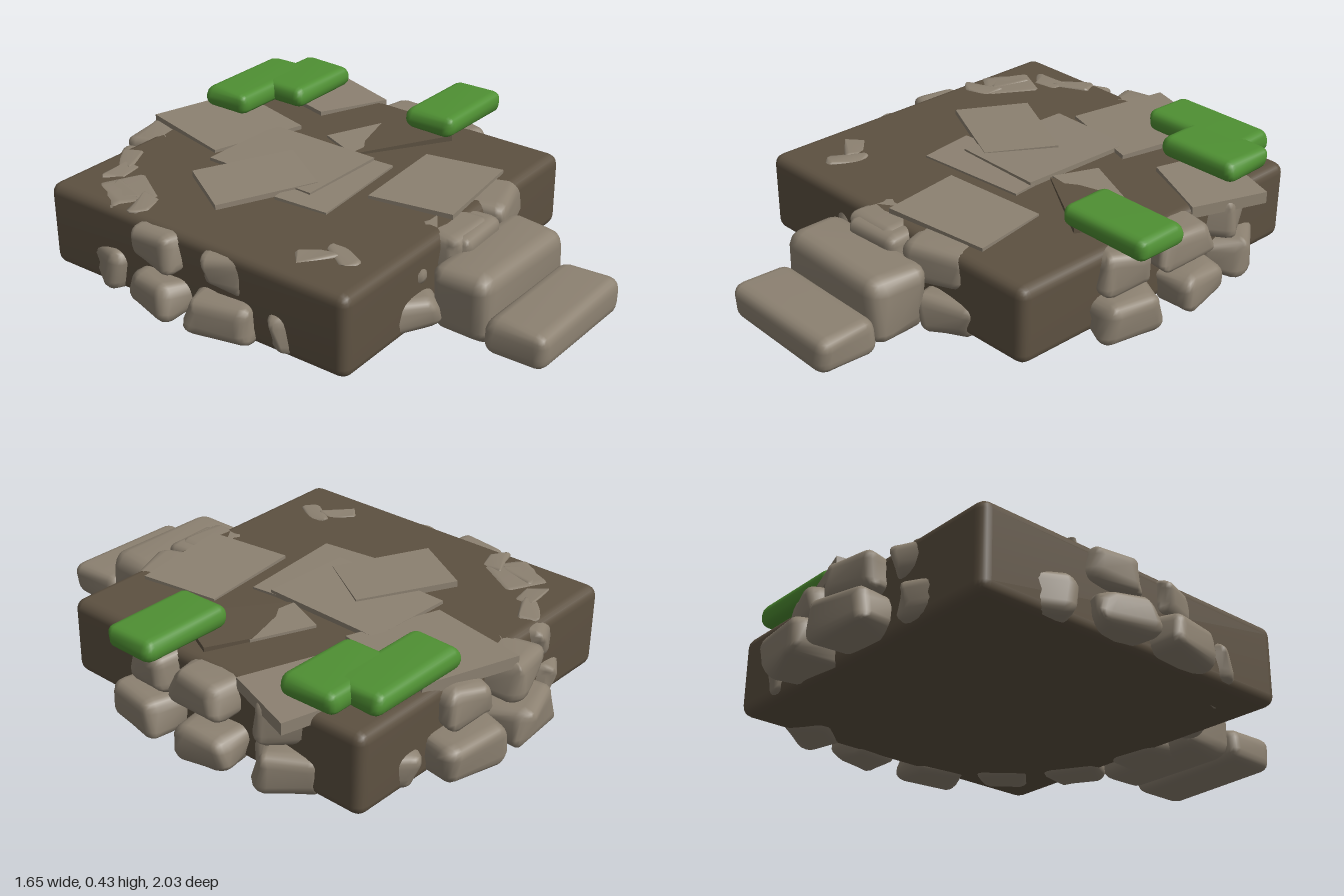
import * as THREE from 'three';
import { mergeVertices } from 'three/addons/utils/BufferGeometryUtils.js';
import { RoundedBoxGeometry } from 'three/addons/geometries/RoundedBoxGeometry.js';

const mat = (name, color) => {
  const m = new THREE.MeshStandardMaterial({ color });
  m.name = name;
  return m;
};

// Rounded block, made uneven by a smooth position rule so that it stays closed
function block(w, h, d, radius, rough, seed) {
  const g = new RoundedBoxGeometry(w, h, d, 2, radius);
  g.deleteAttribute('normal');
  g.deleteAttribute('uv');
  const out = mergeVertices(g, 1e-4);
  const p = out.attributes.position;
  for (let i = 0; i < p.count; i++) {
    const u = p.getX(i) / w, v = p.getY(i) / h, t = p.getZ(i) / d;
    const wave = (k) => Math.sin(seed * (2.3 + k) + u * (4 + k) + v * (5 - k) + t * (3 + 2 * k));
    p.setXYZ(i,
      p.getX(i) + rough * w * wave(0.3),
      p.getY(i) + rough * h * 0.7 * wave(1.1),
      p.getZ(i) + rough * d * wave(1.7));
  }
  out.computeVertexNormals();
  return out;
}

// Flat quad slab: plan corners [x, z], top height, thickness and tilt along x and z
function slab(corners, top, thick, tiltX = 0, tiltZ = 0) {
  const shape = new THREE.Shape(corners.map(([x, z]) => new THREE.Vector2(x, z)));
  const g = new THREE.ExtrudeGeometry(shape, { depth: thick, bevelEnabled: false });
  g.rotateX(Math.PI / 2);
  const cx = corners.reduce((s, c) => s + c[0], 0) / corners.length;
  const cz = corners.reduce((s, c) => s + c[1], 0) / corners.length;
  const p = g.attributes.position;
  for (let i = 0; i < p.count; i++) {
    p.setY(i, p.getY(i) + top + tiltX * (p.getX(i) - cx) + tiltZ * (p.getZ(i) - cz));
  }
  g.computeVertexNormals();
  return g;
}

export function createModel() {
  const stone = mat('stone', 0x8c8171);
  const earth = mat('earth', 0x5d5141);
  const moss = mat('moss', 0x4f9033);
  const model = new THREE.Group();
  model.name = 'stonePlatform';

  const add = (name, geometry, material, x = 0, y = 0, z = 0, turn = 0, parent = model) => {
    const mesh = new THREE.Mesh(geometry, material);
    mesh.name = name;
    mesh.position.set(x, y, z);
    mesh.rotation.y = turn;
    parent.add(mesh);
    return mesh;
  };

  // Earth core, tapering slightly to the front right and sagging at the back left
  const core = block(1.36, 0.32, 1.37, 0.04, 0, 0);
  const cp = core.attributes.position;
  for (let i = 0; i < cp.count; i++) {
    const x = cp.getX(i), y = cp.getY(i), z = cp.getZ(i);
    if (y < 0) cp.setY(i, y + 0.008 + 0.014 * x + 0.012 * z);
    if (z > 0 && x > 0) cp.setZ(i, z - 0.03 * x);
  }
  core.computeVertexNormals();
  add('earthCore', core, earth, -0.02, 0.182, -0.175);

  // Two courses of rough stones set in a ring through the core
  const courses = [
    { name: 'lowerStone', radius: 0.715, y: 0.105, h: 0.145, w: 0.25, start: 20 },
    { name: 'upperStone', radius: 0.665, y: 0.263, h: 0.145, w: 0.22, start: 21 },
  ];
  courses.forEach((c, layer) => {
    const ring = new THREE.Group();
    ring.name = c.name + 'Ring';
    model.add(ring);
    for (let i = 0; i < 15; i++) {
      const seed = i * 1.7 + layer * 5.3;
      const j = Math.sin(seed * 3.1), k = Math.cos(seed * 2.3);
      const a = THREE.MathUtils.degToRad(c.start + i * 24 + 1.5 * j);
      const r = c.radius + 0.015 * k;
      add(c.name, block(c.w + 0.03 * j, c.h + 0.012 * k, 0.2 + 0.02 * j, 0.045, 0.05, seed), stone,
        Math.cos(a) * r, c.y + 0.006 * j, -0.2 + Math.sin(a) * r, Math.PI / 2 - a + 0.12 * k, ring);
    }
  });

  // Front steps
  add('lowerStep', block(0.53, 0.135, 0.24, 0.045, 0.012, 1), stone, -0.015, 0.098, 0.875);
  add('upperStep', block(0.52, 0.26, 0.24, 0.06, 0.02, 2), stone, -0.01, 0.16, 0.645);
  add('stepSill', block(0.25, 0.14, 0.17, 0.04, 0.03, 3), stone, -0.015, 0.265, 0.505);

  // Overlapping paving slabs
  const paving = [
    [[[-0.05, -0.95], [0.32, -0.83], [0.23, -0.43], [-0.14, -0.55]], 0.361, 0.02, -0.02],
    [[[-0.3, -0.12], [0.15, -0.16], [0.17, 0.06], [-0.28, 0.1]], 0.352, 0, -0.02],
    [[[-0.2, -0.52], [0.17, -0.51], [0.16, -0.02], [-0.21, -0.03]], 0.359, 0.01, 0.01],
    [[[-0.34, -0.48], [0.02, -0.3], [-0.13, -0.06], [-0.49, -0.23]], 0.364, 0.01, -0.01],
    [[[-0.09, 0.14], [0.33, 0.1], [0.38, 0.41], [-0.04, 0.47]], 0.355, -0.01, 0.02],
    [[[0.45, -0.72], [0.76, -0.62], [0.66, -0.33], [0.38, -0.45]], 0.352, -0.04, 0],
    [[[0.23, -0.3], [0.46, -0.2], [0.4, -0.1], [0.16, -0.13]], 0.352, 0, 0],
  ];
  paving.forEach(([corners, top, tx, tz]) => add('pavingSlab', slab(corners, top, 0.045, tx, tz), stone));
  add('earthSlab', slab([[0.16, -0.12], [0.45, -0.2], [0.61, -0.13], [0.5, 0.1]], 0.357, 0.03, 0.02, 0.03), earth);

  // Stone chips showing through the top of the core
  [[-0.37, -0.77, 0.5], [-0.46, -0.72, 0.2], [-0.58, -0.6, 1.2], [-0.6, -0.46, 0.4],
    [-0.53, 0.24, -0.6], [-0.47, 0.33, 0.9]].forEach(([x, z, turn], i) =>
    add('stoneChip', block(0.14, 0.06, 0.08, 0.015, 0.12, i + 4), stone, x, 0.317, z, turn));

  // Moss cushions
  [[0.36, -0.755, 0.44, 0.21], [0.5, -0.635, 0.34, 0.23], [0.64, 0.012, 0.38, 0.22]]
    .forEach(([x, z, w, d], i) =>
      add('mossCushion', block(w, 0.085, d, 0.036, 0.01, i + 1), moss, x, 0.405, z));

  return model;
}
